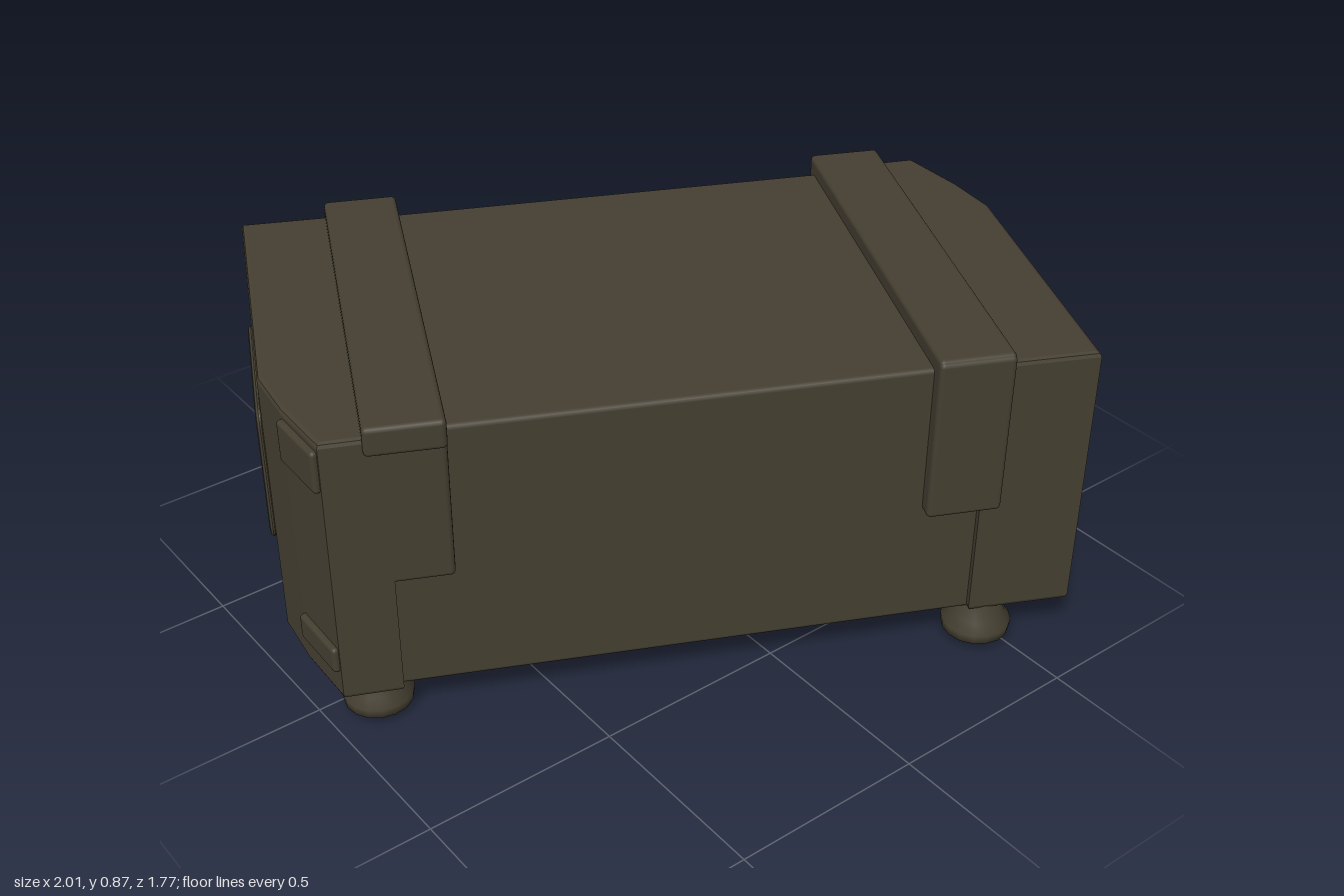
import * as THREE from 'three';
import { RoundedBoxGeometry } from 'three/addons/geometries/RoundedBoxGeometry.js';

const olive = new THREE.MeshStandardMaterial({ color: 0x453f31 });
olive.name = 'dark olive';

function add(parent, name, geometry, x = 0, y = 0, z = 0) {
  const mesh = new THREE.Mesh(geometry, olive);
  mesh.name = name;
  mesh.position.set(x, y, z);
  parent.add(mesh);
  return mesh;
}

// Rounded box given by its limits on each axis
function block(parent, name, [x0, x1], [y0, y1], [z0, z1], r = 0.012) {
  const g = new RoundedBoxGeometry(x1 - x0, y1 - y0, z1 - z0, 2, r);
  return add(parent, name, g, (x0 + x1) / 2, (y0 + y1) / 2, (z0 + z1) / 2);
}

// Plan outline (x, z) extruded between two heights with a small bevel
function slab(points, y0, y1, b) {
  const shape = new THREE.Shape(points.map(([x, z]) => new THREE.Vector2(x, z)));
  const g = new THREE.ExtrudeGeometry(shape, {
    depth: y1 - y0 - 2 * b, bevelThickness: b, bevelSize: b, bevelOffset: -b, bevelSegments: 2,
  });
  g.rotateX(Math.PI / 2);
  g.translate(0, y1 - b, 0);
  return g;
}

function roundedRect(path, w, h, r) {
  const x = w / 2, y = h / 2;
  path.moveTo(-x + r, -y);
  path.lineTo(x - r, -y);
  path.quadraticCurveTo(x, -y, x, -y + r);
  path.lineTo(x, y - r);
  path.quadraticCurveTo(x, y, x - r, y);
  path.lineTo(-x + r, y);
  path.quadraticCurveTo(-x, y, -x, y - r);
  path.lineTo(-x, -y + r);
  path.quadraticCurveTo(-x, -y, -x + r, -y);
  return path;
}

// One end of the crate, on its +x side
function createEnd() {
  const end = new THREE.Group();

  // end section with one cut corner
  add(end, 'endSection', slab([
    [0.70, -0.53], [0.842, -0.532], [0.912, -0.37], [0.955, -0.23],
    [0.958, 0.525], [0.70, 0.522],
  ], 0.11, 0.832, 0.012));

  // raised band over the lid, running down both sides
  block(end, 'bandTop', [0.56, 0.745], [0.79, 0.865], [-0.545, 0.54]);
  block(end, 'bandFront', [0.56, 0.745], [0.43, 0.86], [0.48, 0.545]);

  // framed panel on the end face
  const frame = roundedRect(new THREE.Shape(), 0.43, 0.37, 0.05);
  frame.holes.push(roundedRect(new THREE.Path(), 0.33, 0.27, 0.035));
  const frameGeo = new THREE.ExtrudeGeometry(frame, {
    depth: 0.004, bevelThickness: 0.008, bevelSize: 0.014, bevelOffset: -0.014, bevelSegments: 2,
  });
  frameGeo.rotateY(Math.PI / 2);
  add(end, 'panelFrame', frameGeo, 0.957, 0.55, -0.015);
  block(end, 'panelPlate', [0.945, 0.964], [0.48, 0.63], [-0.11, 0.08], 0.006);

  // clasps on the cut corner
  for (const [y, h] of [[0.755, 0.11], [0.225, 0.07]]) {
    const clasp = add(end, 'cornerClasp', new RoundedBoxGeometry(0.03, h, 0.17, 2, 0.01), 0.877, y, -0.45);
    clasp.rotation.y = 0.41;
  }

  // squashed round feet
  const profile = [[0, 0], [0.06, 0], [0.085, 0.02], [0.088, 0.045], [0.07, 0.07], [0.055, 0.12]]
    .map(([x, y]) => new THREE.Vector2(x, y));
  for (const [x, z] of [[0.745, 0.465], [0.757, -0.428]]) {
    add(end, 'foot', new THREE.LatheGeometry(profile, 16), x, 0, z);
  }
  return end;
}

export function createModel() {
  const model = new THREE.Group();
  model.name = 'crate';

  // the crate stands turned on its base
  const crate = new THREE.Group();
  crate.name = 'turnedCrate';
  crate.rotation.y = THREE.MathUtils.degToRad(-25.5);
  model.add(crate);

  block(crate, 'body', [-0.74, 0.74], [0.11, 0.825], [-0.51, 0.505]);

  const leftEnd = createEnd();
  leftEnd.name = 'leftEnd';
  crate.add(leftEnd);
  // longer strap at the back of this end
  block(leftEnd, 'bandBack', [0.56, 0.745], [0.12, 0.86], [-0.545, -0.48]);

  const rightEnd = createEnd();
  rightEnd.name = 'rightEnd';
  rightEnd.rotation.y = Math.PI;
  crate.add(rightEnd);
  block(rightEnd, 'bandBack', [0.56, 0.745], [0.43, 0.86], [-0.53, -0.48]);

  return model;
}
